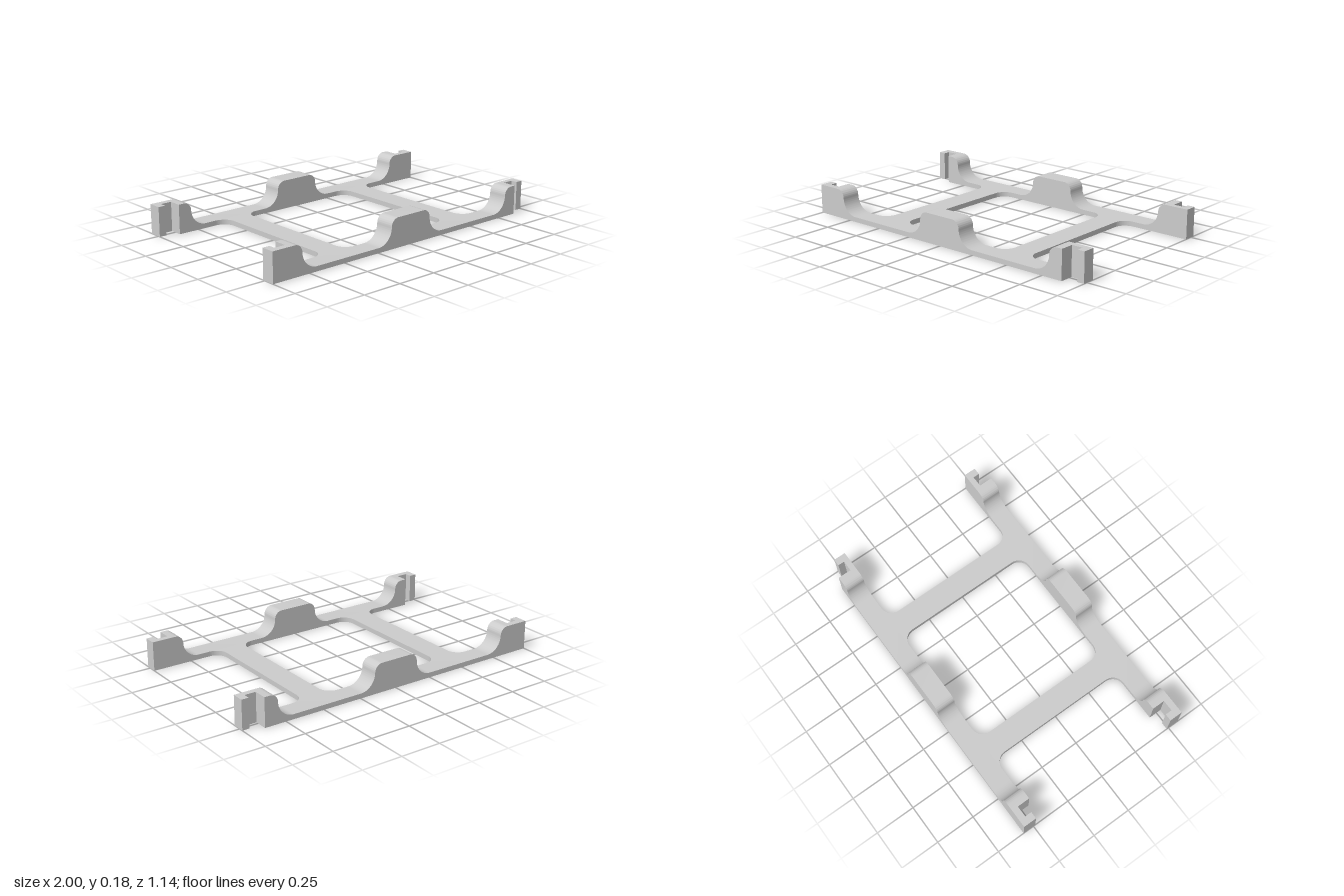
import * as THREE from 'three';
import { toCreasedNormals } from 'three/addons/utils/BufferGeometryUtils.js';

const MAT = new THREE.MeshStandardMaterial({ color: 0xcccccc });
const HEIGHT = 0.18, PLATE = 0.03; // tall blocks, thin base
const INNER = 0.45, OUTER = 0.57; // rail faces in z
const BODY = 0.885; // rail length before the hooks

function extrude(shape, depth) {
  const geo = new THREE.ExtrudeGeometry(shape, { depth, bevelEnabled: false, curveSegments: 14 });
  return geo;
}

function mesh(name, geo) {
  const m = new THREE.Mesh(toCreasedNormals(geo, 0.5), MAT);
  m.name = name;
  return m;
}

// Plan shape (x, z) raised from the ground to a height
function plan(name, shape, height) {
  return mesh(name, extrude(shape, height).rotateX(Math.PI / 2).translate(0, height, 0));
}

// Side profile: three rounded blocks joined by thin valleys
function railProfile() {
  const r = 0.05, R = HEIGHT - PLATE - r, H = Math.PI / 2;
  const s = new THREE.Shape();
  s.moveTo(-BODY, 0);
  s.lineTo(BODY, 0);
  s.lineTo(BODY, HEIGHT);
  // Each valley runs from its right wall to its left wall
  for (const [right, left] of [[0.8, 0.15], [-0.15, -0.8]]) {
    s.absarc(right + r, HEIGHT - r, r, H, 2 * H, false);
    s.absarc(right - R, PLATE + R, R, 0, -H, true);
    s.absarc(left + R, PLATE + R, R, -H, -2 * H, true);
    s.absarc(left - r, HEIGHT - r, r, 0, H, false);
  }
  s.lineTo(-BODY, HEIGHT);
  s.closePath();
  return s;
}

// L-shaped hook: an arm along the rail and a tip turned across it
function hookShape(sx, sz, armEdge, armInside, tipEnd) {
  const points = [[BODY, armEdge], [1, armEdge], [1, tipEnd], [0.955, tipEnd], [0.955, armInside], [BODY, armInside]];
  return new THREE.Shape(points.map(([x, z]) => new THREE.Vector2(sx * x, sz * z)));
}

// Cross bar with filleted corners where it meets the rails
function barShape(x0, x1) {
  const r = 0.075, z = INNER, H = Math.PI / 2;
  const s = new THREE.Shape();
  s.moveTo(x0 - r, -z);
  s.lineTo(x1 + r, -z);
  s.absarc(x1 + r, -z + r, r, -H, -2 * H, true);
  s.absarc(x1 + r, z - r, r, 2 * H, H, true);
  s.lineTo(x0 - r, z);
  s.absarc(x0 - r, z - r, r, H, 0, true);
  s.absarc(x0 - r, -z + r, r, 0, -H, true);
  return s;
}

export function createModel() {
  const model = new THREE.Group();
  model.name = 'railFrame';

  for (const [side, sz] of [['front', 1], ['back', -1]]) {
    const start = sz > 0 ? INNER : -OUTER;
    model.add(mesh(side + 'Rail', extrude(railProfile(), OUTER - INNER).translate(0, 0, start)));
    // Interlocking hooks: outer arm on one end, inner arm on the other
    model.add(plan(side + 'RightHook', hookShape(-1, sz, OUTER, 0.53, 0.487), HEIGHT));
    model.add(plan(side + 'LeftHook', hookShape(1, sz, INNER, 0.485, 0.526), HEIGHT));
  }

  model.add(plan('rightCrossBar', barShape(-0.55, -0.4), PLATE));
  model.add(plan('leftCrossBar', barShape(0.4, 0.55), PLATE));
  return model;
}
